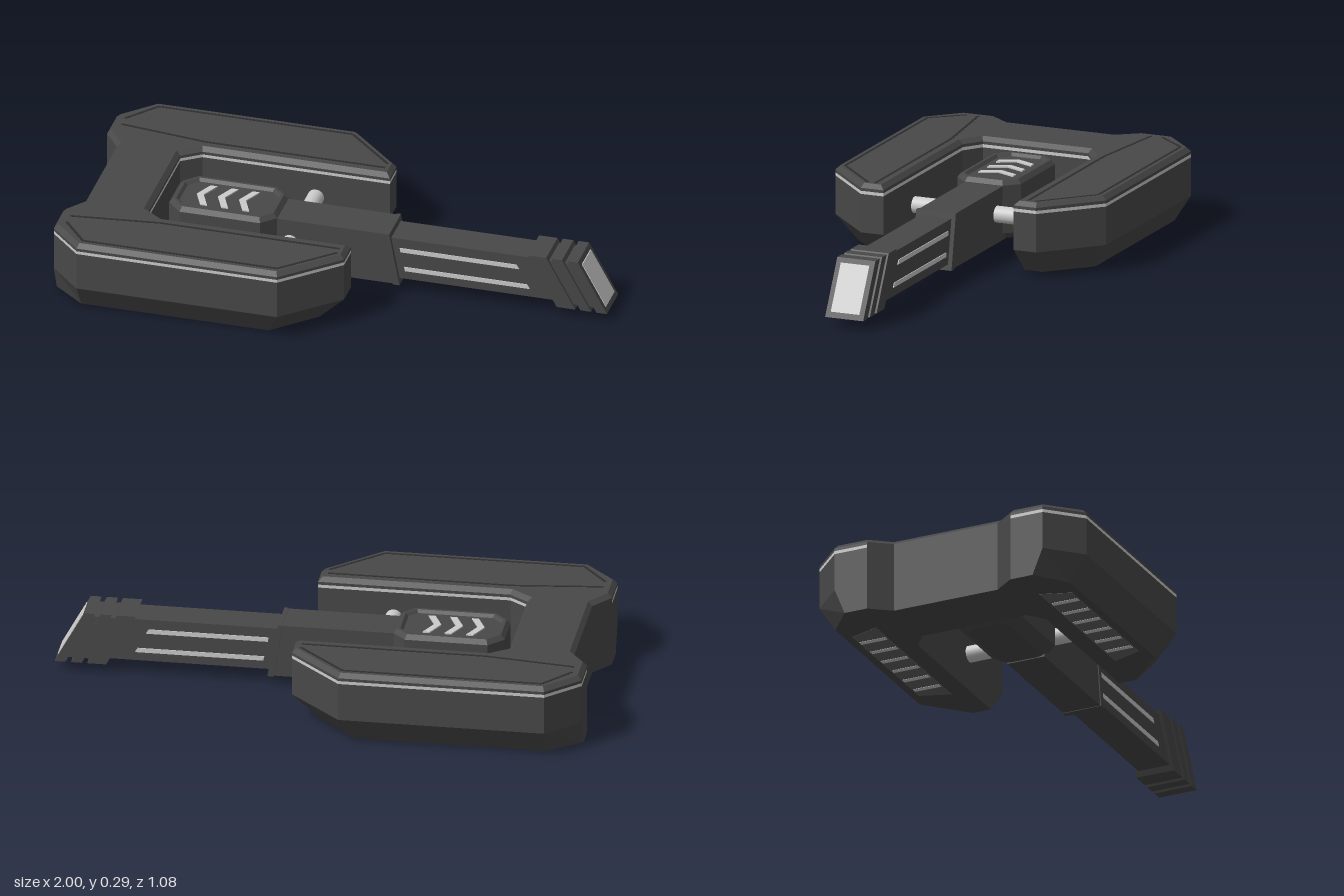
import * as THREE from 'three';

const paint = (color) => new THREE.MeshStandardMaterial({ color, flatShading: true, side: THREE.DoubleSide });
const DARK = paint(0x484848), SEAM = paint(0x2e2e2e), MID = paint(0x606060), LIGHT = paint(0xcccccc);
const ZC = 0.007; // centre line of the pad and handle

function add(group, name, geometry, material) {
  const mesh = new THREE.Mesh(geometry, material);
  mesh.name = name;
  group.add(mesh);
  return mesh;
}

// Stack outlines of [x, z] points, given as [y, outline], into a faceted solid
function loft(rings, { bottom = true, top = true, keep = () => true } = {}) {
  const pos = [];
  const flip = THREE.ShapeUtils.area(rings[0][1].map(([x, z]) => new THREE.Vector2(x, z))) < 0;
  const loops = rings.map(([y, pts]) => {
    const loop = pts.map(([x, z]) => new THREE.Vector3(x, y, z));
    return flip ? loop.reverse() : loop;
  });
  const tri = (...v) => v.forEach((p) => pos.push(p.x, p.y, p.z));
  for (let k = 0; k + 1 < loops.length; k++) {
    const a = loops[k], b = loops[k + 1];
    a.forEach((p, i) => {
      const j = (i + 1) % a.length;
      if (!keep(p, a[j])) return;
      tri(p, b[i], b[j]);
      tri(p, b[j], a[j]);
    });
  }
  const cap = (loop, up) => {
    const flat = loop.map((p) => new THREE.Vector2(p.x, p.z));
    for (const [a, b, c] of THREE.ShapeUtils.triangulateShape(flat, [])) {
      if (up) tri(loop[a], loop[c], loop[b]);
      else tri(loop[a], loop[b], loop[c]);
    }
  };
  if (bottom) cap(loops[0], false);
  if (top) cap(loops[loops.length - 1], true);
  const g = new THREE.BufferGeometry();
  g.setAttribute('position', new THREE.Float32BufferAttribute(pos, 3));
  g.computeVertexNormals();
  return g;
}

// Move every edge of an outline inwards by d, with mitred corners
function inset(pts, d) {
  const v = pts.map(([x, z]) => new THREE.Vector2(x, z));
  const s = Math.sign(THREE.ShapeUtils.area(v));
  return v.map((p, i) => {
    const a = p.clone().sub(v[(i + v.length - 1) % v.length]).normalize();
    const b = v[(i + 1) % v.length].clone().sub(p).normalize();
    const k = (d * s) / (1 + a.dot(b));
    return [p.x - (a.y + b.y) * k, p.y + (a.x + b.x) * k];
  });
}

// Side profile of [x, y] points, extruded across z
function slab(profile, depth, z = ZC) {
  const shape = new THREE.Shape(profile.map(([x, y]) => new THREE.Vector2(x, y)));
  return new THREE.ExtrudeGeometry(shape, { depth, bevelEnabled: false }).translate(0, 0, z - depth / 2);
}

// Mirror half an outline across z = 0
const mirrored = (half) => [...half, ...half.map(([x, z]) => [x, -z]).reverse()];

// Four-sided profile whose ends lean with the handle tip
const LEAN = 0.55;
const leaning = (x0, x1, y0, y1) => {
  const at = (x, y) => [x + (0.235 - y) * LEAN, y];
  return [at(x0, y0), at(x1, y0), at(x1, y1), at(x0, y1)];
};

export function createModel() {
  const model = new THREE.Group();

  // C-shaped hull
  const hull = new THREE.Group();
  hull.name = 'hull';
  model.add(hull);
  const side = mirrored([[-0.7, 0.21], [-0.63, 0.26], [0.08, 0.26], [0.08, 0.35], [-0.12, 0.54],
    [-0.88, 0.54], [-1, 0.42], [-1, 0.29], [-0.94, 0.21]]);
  const base = mirrored([[-0.7, 0.21], [-0.63, 0.26], [-0.02, 0.26], [-0.02, 0.33], [-0.17, 0.475],
    [-0.88, 0.475], [-1, 0.38], [-1, 0.29], [-0.94, 0.21]]);
  const isRear = (p, q) => p.x < -0.93 && q.x < -0.93 && Math.abs(p.z + q.z) < 0.6;
  add(hull, 'hullBody', loft([[0, base], [0.1, side], [0.245, side]], { top: false }), DARK);
  const open = { bottom: false, top: false };
  const band = [[0.245, side], [0.257, side]];
  add(hull, 'lightBand', loft(band, { ...open, keep: (p, q) => !isRear(p, q) }), LIGHT);
  add(hull, 'rearBand', loft(band, { ...open, keep: isRear }), DARK);
  add(hull, 'hullLid', loft([[0.257, side], [0.268, side], [0.284, inset(side, 0.016)]], { bottom: false }), DARK);

  // Panel seams on the lid and vents under each arm
  const paths = [
    [[-0.96, 0.345], [-0.63, 0.305], [0.05, 0.305]],
    [[-0.96, 0.39], [-0.865, 0.505], [-0.13, 0.505], [0.05, 0.335]],
  ];
  for (const s of [1, -1]) {
    for (const path of paths) {
      for (let i = 0; i + 1 < path.length; i++) {
        const [x0, z0] = path[i], [x1, z1] = path[i + 1];
        const seam = add(hull, 'panelSeam',
          new THREE.BoxGeometry(Math.hypot(x1 - x0, z1 - z0), 0.003, 0.01), SEAM);
        seam.position.set((x0 + x1) / 2, 0.2835, (s * (z0 + z1)) / 2);
        seam.rotation.y = -Math.atan2(s * (z1 - z0), x1 - x0);
      }
    }
    const vent = [[-0.84, 0.33], [-0.2, 0.33], [-0.24, 0.445], [-0.8, 0.445]].map(([x, z]) => [x, s * z]);
    add(hull, 'ventPanel', loft([[0, vent], [0.004, vent]]).translate(0, -0.001, 0), MID);
    for (let i = 0; i < 6; i++) {
      add(hull, 'ventBar', new THREE.BoxGeometry(0.022, 0.006, 0.105), LIGHT)
        .position.set(-0.74 + i * 0.09, 0.001, s * 0.388);
    }
  }

  // Cross rod joining the arms
  const rodMaterial = new THREE.MeshStandardMaterial({ color: 0xcccccc });
  add(model, 'crossRod', new THREE.CylinderGeometry(0.031, 0.031, 0.53, 32).rotateX(Math.PI / 2), rodMaterial)
    .position.set(-0.2, 0.146, 0);

  // Octagonal pad with a sunken top
  const pad = new THREE.Group();
  pad.name = 'pad';
  pad.position.z = ZC;
  model.add(pad);
  const oct = mirrored([[-0.66, 0.07], [-0.605, 0.127], [-0.3, 0.127], [-0.25, 0.075]]);
  add(pad, 'padBody', loft([[0.03, inset(oct, 0.045)], [0.06, oct], [0.24, oct], [0.257, inset(oct, 0.014)],
    [0.257, inset(oct, 0.024)], [0.246, inset(oct, 0.034)]]), DARK);
  for (const x of [-0.575, -0.495, -0.415]) {
    const chevron = [[x, 0], [x + 0.032, 0.07], [x + 0.058, 0.07], [x + 0.026, 0],
      [x + 0.058, -0.07], [x + 0.032, -0.07]];
    add(pad, 'chevron', loft([[0.245, chevron], [0.251, chevron]]), LIGHT);
  }

  // Neck with a leaning collar
  add(model, 'neck', slab([[-0.28, 0.035], [0.19, 0.035], [0.16, 0.238], [-0.28, 0.238]], 0.15), DARK);
  add(model, 'neckCollar', slab([[0.19, 0.033], [0.215, 0.033], [0.176, 0.24], [0.16, 0.24]], 0.158), DARK);

  // Handle shaft with light strips on both sides
  add(model, 'handleShaft', slab([[0.15, 0.055], [0.8, 0.055], [0.75, 0.22], [0.15, 0.22]], 0.126), DARK);
  for (const s of [1, -1]) {
    const z = ZC + s * 0.063;
    add(model, 'sideStrip', slab([[0.215, 0.165], [0.665, 0.165], [0.655, 0.182], [0.212, 0.182]], 0.006, z), LIGHT);
    add(model, 'sideStrip', slab([[0.232, 0.088], [0.705, 0.088], [0.695, 0.105], [0.228, 0.105]], 0.006, z), LIGHT);
  }

  // Ribbed tip
  add(model, 'tipCore', slab(leaning(0.72, 0.88, 0.05, 0.22), 0.132), DARK);
  for (const [x0, x1] of [[0.7, 0.77], [0.79, 0.83], [0.85, 0.89]]) {
    add(model, 'tipRib', slab(leaning(x0, x1, 0.035, 0.235), 0.152), DARK);
  }
  add(model, 'tipPanel', slab(leaning(0.885, 0.893, 0.055, 0.218), 0.114), LIGHT);

  return model;
}
